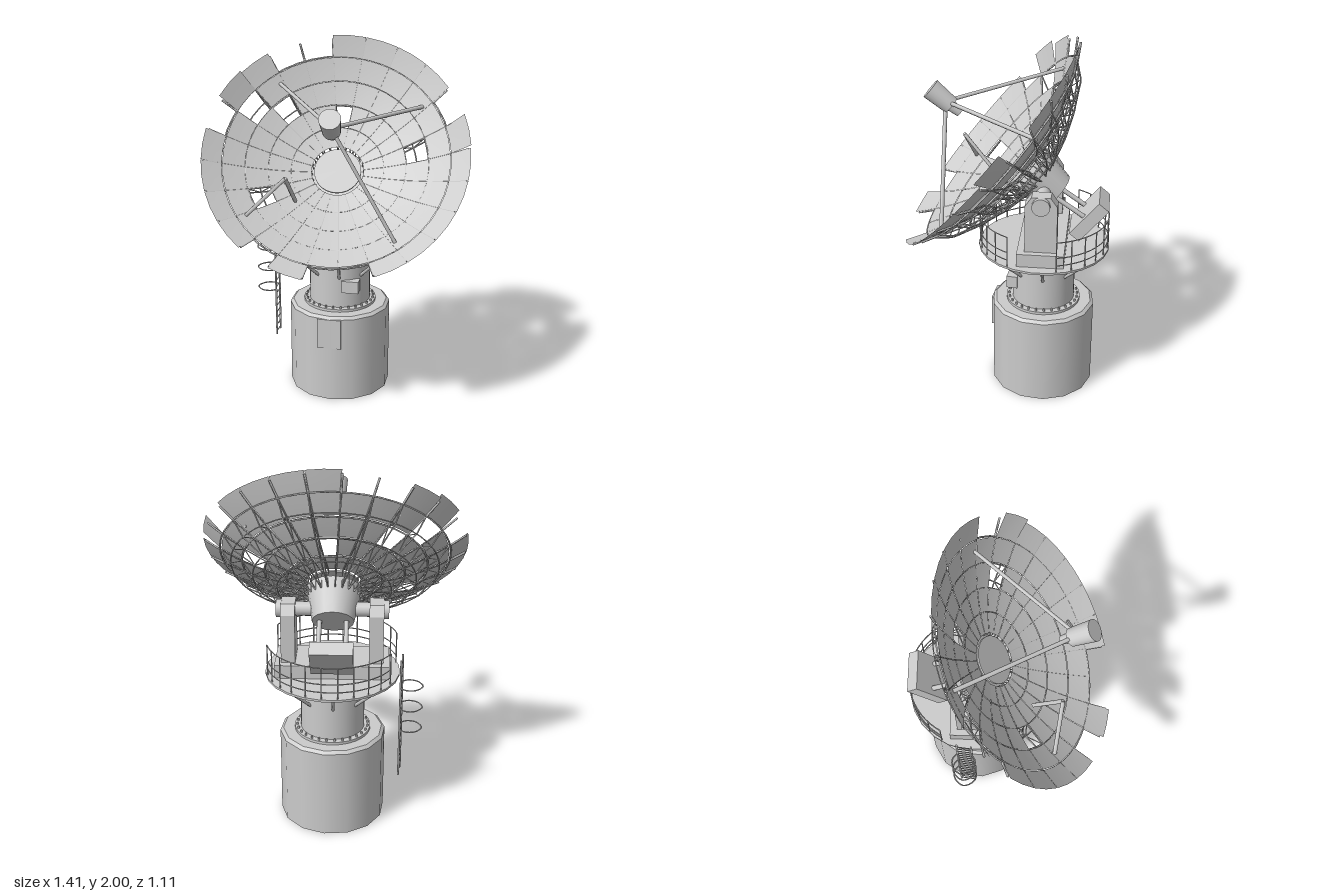
import * as THREE from 'three';
import { mergeGeometries } from 'three/addons/utils/BufferGeometryUtils.js';

const mat = new THREE.MeshStandardMaterial({ color: 0xcccccc });
const thin = new THREE.MeshStandardMaterial({ color: 0xcccccc, side: THREE.DoubleSide });
const V = (x, y, z) => new THREE.Vector3(x, y, z);
const rad = THREE.MathUtils.degToRad;

function add(parent, name, geo, x = 0, y = 0, z = 0, m = mat) {
  const mesh = new THREE.Mesh(geo, m);
  mesh.name = name;
  mesh.position.set(x, y, z);
  parent.add(mesh);
  return mesh;
}

// Straight rod between two points
function rod(a, b, r, sides = 5, r2 = r) {
  const d = b.clone().sub(a);
  const g = new THREE.CylinderGeometry(r2, r, d.length(), sides);
  g.applyQuaternion(new THREE.Quaternion().setFromUnitVectors(V(0, 1, 0), d.normalize()));
  const c = a.clone().add(b).multiplyScalar(0.5);
  return g.translate(c.x, c.y, c.z);
}

// Horizontal arc pipe around the y axis
function arcPipe(R, from, to, r, y) {
  const pts = [];
  for (let i = 0; i <= 16; i++) {
    const a = from + (to - from) * i / 16;
    pts.push(V(R * Math.cos(a), y, R * Math.sin(a)));
  }
  return new THREE.TubeGeometry(new THREE.CatmullRomCurve3(pts), 24, r, 4);
}

// Dish profile: height along the axis at radius r
const dishZ = r => 0.152 + 0.48 * r * r;
const onDish = (r, a, drop = 0) => V(r * Math.cos(a), r * Math.sin(a), dishZ(r) - drop);

// One curved reflector panel, with optional lift of its outer edge
function panel(r0, r1, a0, a1, lift = 0) {
  const g = new THREE.PlaneGeometry(1, 1, 2, 2);
  const p = g.attributes.position;
  for (let i = 0; i < p.count; i++) {
    const t = p.getY(i) + 0.5;
    const v = onDish(r0 + (r1 - r0) * t, a1 + (a0 - a1) * (p.getX(i) + 0.5));
    p.setXYZ(i, v.x, v.y, v.z + lift * t);
  }
  g.computeVertexNormals();
  return g;
}

function buildTower() {
  const g = new THREE.Group();
  g.name = 'tower';
  add(g, 'baseDrum', new THREE.CylinderGeometry(0.285, 0.285, 0.495, 14), 0, 0.2475);
  add(g, 'baseShoulder', new THREE.CylinderGeometry(0.268, 0.285, 0.015, 14), 0, 0.5025);
  add(g, 'baseDoor', new THREE.BoxGeometry(0.135, 0.175, 0.02), -0.005, 0.408, 0.274);
  add(g, 'neck', new THREE.CylinderGeometry(0.172, 0.172, 0.35, 32), 0, 0.68);
  add(g, 'neckFlange', new THREE.CylinderGeometry(0.205, 0.205, 0.015, 32), 0, 0.5175);
  const bolts = [];
  for (let i = 0; i < 28; i++) {
    const a = i / 28 * Math.PI * 2;
    bolts.push(new THREE.CylinderGeometry(0.006, 0.006, 0.014, 6)
      .translate(0.191 * Math.cos(a), 0.531, 0.191 * Math.sin(a)));
  }
  add(g, 'flangeBolts', mergeGeometries(bolts));
  add(g, 'neckBox', new THREE.BoxGeometry(0.095, 0.07, 0.06), 0.092, 0.655, 0.15);
  add(g, 'platform', new THREE.CylinderGeometry(0.358, 0.358, 0.012, 24), 0, 0.855);
  const braces = [];
  for (let i = 0; i < 8; i++) {
    const a = rad(80 + 45 * i), c = Math.cos(a), s = Math.sin(a);
    braces.push(rod(V(0.165 * c, 0.7, 0.165 * s), V(0.33 * c, 0.85, 0.33 * s), 0.009, 6));
  }
  add(g, 'platformBraces', mergeGeometries(braces));

  // Railing in two halves, open at both sides
  const rails = [];
  for (const side of [0, Math.PI]) {
    const from = side + rad(22), to = side + rad(158);
    for (const y of [0.9, 0.945, 1.035]) rails.push(arcPipe(0.35, from, to, 0.0035, y));
    for (let i = 0; i <= 10; i++) {
      const a = from + (to - from) * i / 10, c = 0.35 * Math.cos(a), s = 0.35 * Math.sin(a);
      rails.push(rod(V(c, 0.86, s), V(c, 1.035, s), 0.0035, 4));
    }
  }
  add(g, 'railing', mergeGeometries(rails));

  // Ladder with safety hoops
  const lad = [];
  for (const z of [-0.04, 0.04]) lad.push(rod(V(-0.37, 0.26, z), V(-0.37, 0.955, z), 0.006));
  for (let i = 0; i < 17; i++) {
    const y = 0.28 + i * 0.04;
    lad.push(rod(V(-0.37, y, -0.04), V(-0.37, y, 0.04), 0.003, 4));
  }
  for (const y of [0.545, 0.67, 0.795]) {
    const pts = [V(-0.37, y, -0.04), V(-0.4, y, -0.062), V(-0.45, y, -0.055), V(-0.485, y, 0),
      V(-0.45, y, 0.055), V(-0.4, y, 0.062), V(-0.37, y, 0.04)];
    lad.push(new THREE.TubeGeometry(new THREE.CatmullRomCurve3(pts), 20, 0.004, 4));
  }
  add(g, 'ladder', mergeGeometries(lad));
  return g;
}

function buildYoke() {
  const g = new THREE.Group();
  g.name = 'yoke';
  add(g, 'yokeBase', new THREE.BoxGeometry(0.6, 0.075, 0.25), 0, 0.897);
  // Arm outline with chamfered top
  const s = new THREE.Shape([[-0.085, 0.93], [0.085, 0.93], [0.085, 1.2], [0.05, 1.252],
    [-0.05, 1.252], [-0.085, 1.2]].map(p => new THREE.Vector2(...p)));
  for (const side of [-1, 1]) {
    const arm = new THREE.ExtrudeGeometry(s, { depth: 0.075, bevelEnabled: false });
    arm.translate(0, 0, -0.0375).rotateY(Math.PI / 2);
    add(g, 'yokeArm', arm, side * 0.23);
    add(g, 'bearing', new THREE.CylinderGeometry(0.048, 0.048, 0.03, 20).rotateZ(Math.PI / 2), side * 0.278, 1.207);
    add(g, 'axle', new THREE.CylinderGeometry(0.038, 0.038, 0.12, 16).rotateZ(Math.PI / 2), side * 0.145, 1.207);
  }
  return g;
}

function buildDish() {
  const g = new THREE.Group();
  g.name = 'dish';
  const N = 24, step = Math.PI * 2 / N, off = rad(4);
  const rings = [0.14, 0.25, 0.37, 0.49, 0.605, 0.708];
  // Missing panels for each ring, and two bent ones
  const missing = [[], [5], [8, 13, 0], [9], [1, 6, 7, 10, 15, 17, 18]];
  const bent = { 0: 0.03, 9: 0.025 };
  for (let j = 0; j < 5; j++) for (let k = 0; k < N; k++) {
    if (missing[j].includes(k)) continue;
    const a = off + k * step, gap = 0.0015 / rings[j + 1];
    add(g, 'reflectorPanel', panel(rings[j] + 0.0015, rings[j + 1] - 0.0015, a + gap, a + step - gap,
      j === 4 ? bent[k] || 0 : 0), 0, 0, 0, thin);
  }
  add(g, 'centrePlate', new THREE.CylinderGeometry(0.128, 0.128, 0.01, 28).rotateX(Math.PI / 2), 0, 0, 0.158);
  add(g, 'hubDrum', new THREE.CylinderGeometry(0.145, 0.11, 0.19, 16).rotateX(Math.PI / 2), 0, 0, 0.025);

  // Radial trusses behind the panels
  const truss = [];
  const low = [V(0.14, 0, 0.06), V(0.3, 0, 0.115), V(0.43, 0, 0.175), V(0.55, 0, 0.245)];
  for (let k = 0; k < N; k++) {
    const a = off + k * step;
    const lower = low.map(p => V(p.x * Math.cos(a), p.x * Math.sin(a), p.z));
    const here = !missing[4].includes(k) || !missing[4].includes((k + N - 1) % N) || k === 7;
    const upper = [0.14, 0.25, 0.37, 0.49, 0.61, 0.695].slice(0, here ? 6 : 5).map(r => onDish(r, a, 0.008));
    for (let i = 1; i < upper.length; i++) truss.push(rod(upper[i - 1], upper[i], i === 5 ? 0.006 : 0.004, 4));
    for (let i = 0; i < 4; i++) {
      truss.push(rod(lower[i], i < 3 ? lower[i + 1] : upper[4], 0.004, 4));
      truss.push(rod(lower[i], upper[i], 0.003, 4), rod(lower[i], upper[i + 1], 0.003, 4));
    }
  }
  add(g, 'radialTrusses', mergeGeometries(truss));
  // Ring pipes, front and rear
  for (const r of [0.25, 0.37, 0.49, 0.612])
    add(g, 'ringPipe', new THREE.TorusGeometry(r, 0.005, 4, 48), 0, 0, dishZ(r) - 0.009);
  for (const p of low.slice(1)) add(g, 'rearRingPipe', new THREE.TorusGeometry(p.x, 0.004, 4, 48), 0, 0, p.z);

  // Feed horn on its three remaining legs
  add(g, 'feedHorn', new THREE.CylinderGeometry(0.056, 0.047, 0.14, 20).rotateX(Math.PI / 2), 0, 0, 0.727);
  add(g, 'feedNeck', new THREE.CylinderGeometry(0.03, 0.022, 0.06, 16).rotateX(Math.PI / 2), 0, 0, 0.628);
  for (const deg of [36, 126, 306]) {
    const a = rad(deg);
    add(g, 'feedLeg', rod(onDish(0.555, a), V(0.035 * Math.cos(a), 0.035 * Math.sin(a), 0.67), 0.011, 6));
  }

  // Counterweight
  add(g, 'counterweight', new THREE.BoxGeometry(0.22, 0.24, 0.07), 0, 0.025, -0.29);
  for (const x of [-0.07, 0.07])
    add(g, 'counterweightArm', rod(V(x, 0, -0.05), V(x, 0.02, -0.27), 0.014, 6));
  return g;
}

export function createModel() {
  const root = new THREE.Group();
  root.name = 'dishAntenna';
  const cx = -0.04, cz = -0.195, turn = rad(7.3);
  const tower = buildTower();
  tower.position.set(cx, 0, cz);
  const yoke = buildYoke();
  yoke.position.set(cx, 0, cz);
  yoke.rotation.y = turn;
  const dish = buildDish();
  dish.position.set(-0.045, 1.207, -0.2);
  dish.rotation.set(rad(-40), turn, 0, 'YXZ');
  root.add(tower, yoke, dish);

  // Broken fourth feed leg, snapped and folded back
  const elbow = V(-0.225, 1.37, 0.3);
  add(root, 'brokenFeedLeg', rod(V(-0.44, 1.155, 0.293), elbow, 0.011, 6));
  add(root, 'brokenFeedLegEnd', rod(elbow, V(-0.21, 1.2, 0.15), 0.011, 6));
  return root;
}
